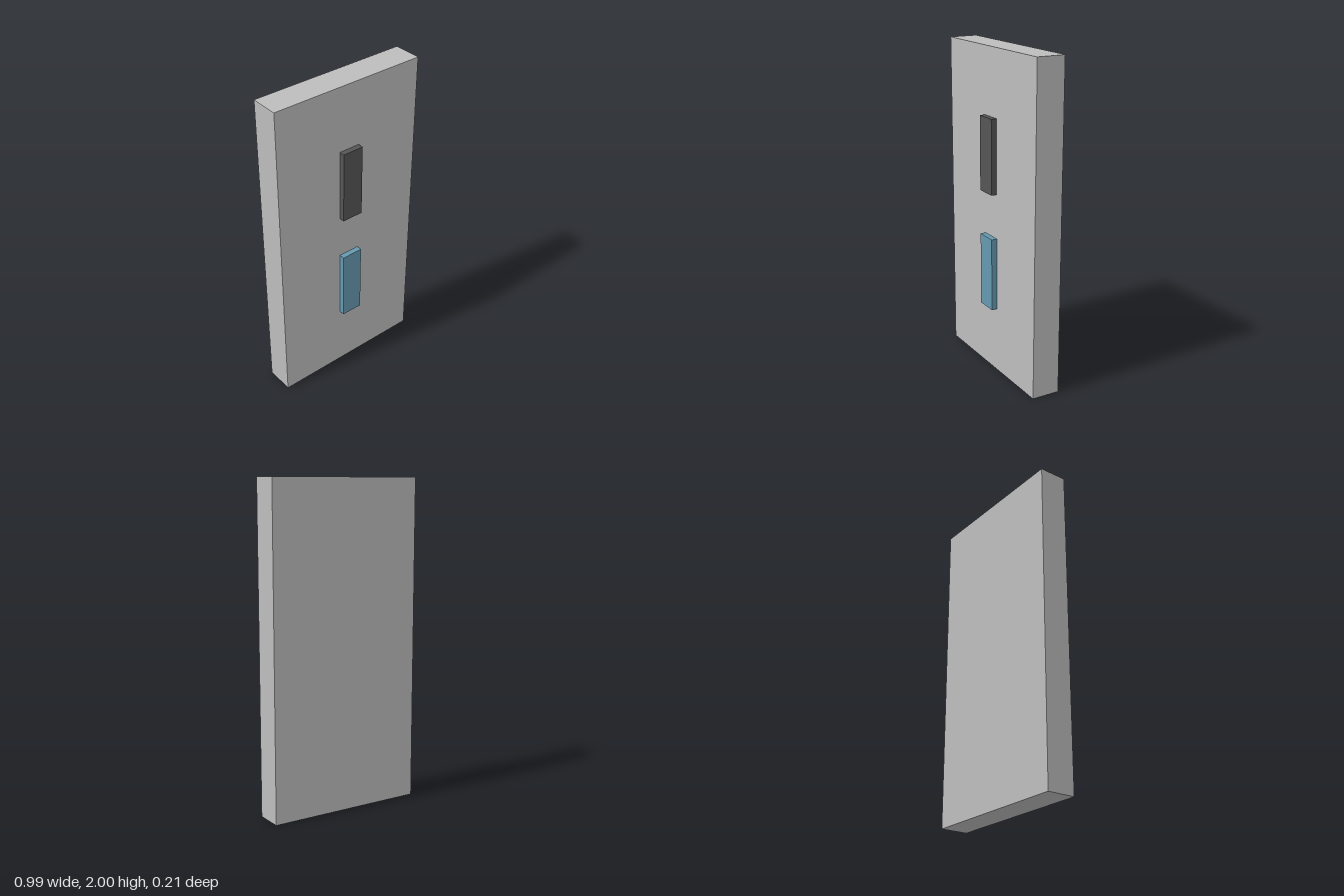
import * as THREE from 'three';

function material(name, color) {
  const m = new THREE.MeshStandardMaterial({ color });
  m.name = name;
  return m;
}

export function createModel() {
  const group = new THREE.Group();
  group.name = 'wallPanel';

  // Box given by its size and centre
  const addBox = (name, mat, size, centre) => {
    const mesh = new THREE.Mesh(new THREE.BoxGeometry(...size), mat);
    mesh.name = name;
    mesh.position.set(...centre);
    group.add(mesh);
  };

  // Upright slab
  addBox('panel', material('lightGrey', 0xbdbdbd), [0.99, 2, 0.175], [0, 1, -0.0175]);

  // Two raised plates on the front face
  const plate = [0.136, 0.455, 0.035];
  addBox('upperPlate', material('darkGrey', 0x555555), plate, [0, 1.368, 0.0875]);
  addBox('lowerPlate', material('steelBlue', 0x6699b0), plate, [0, 0.638, 0.0875]);

  return group;
}
